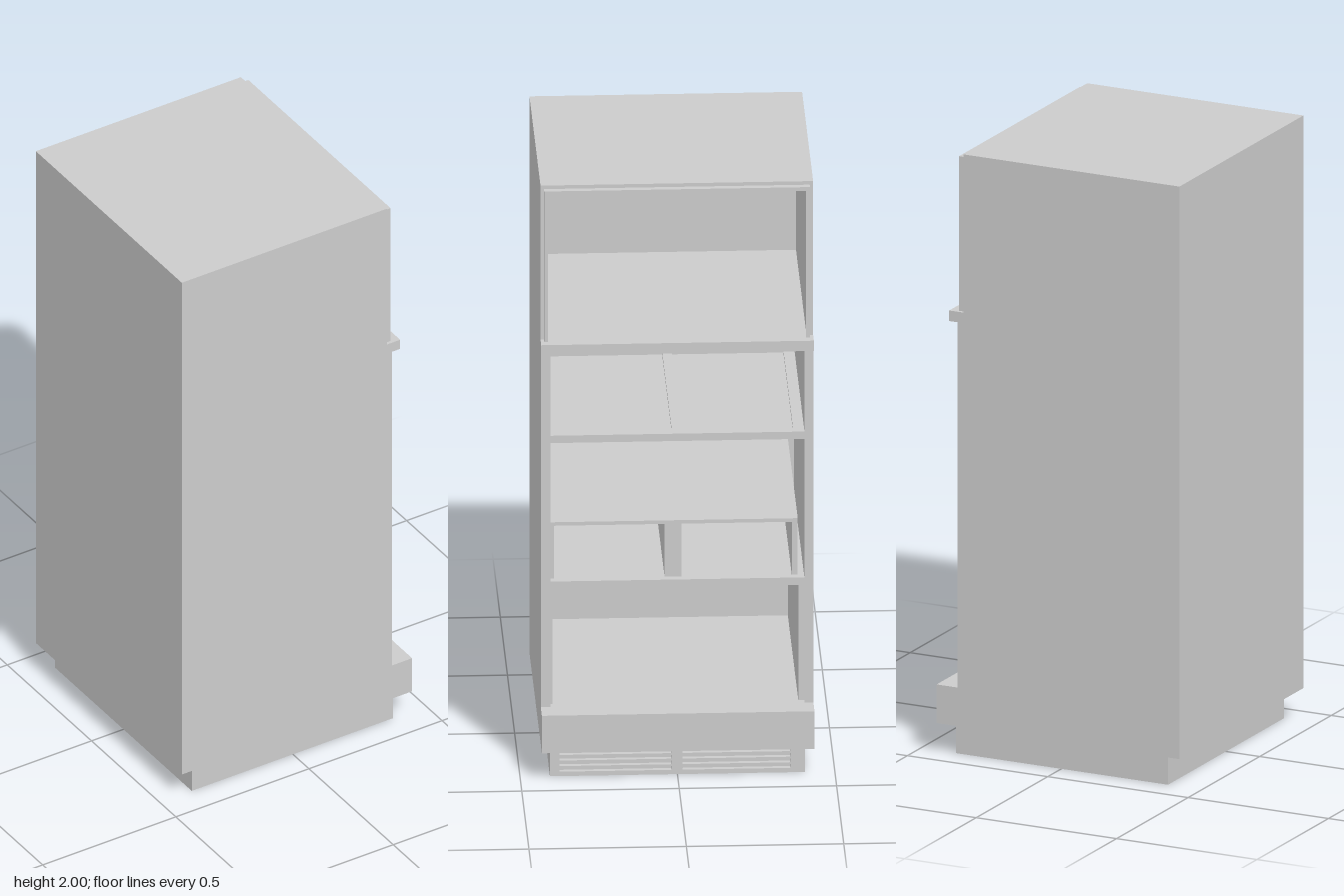
import * as THREE from 'three';

const grey = new THREE.MeshStandardMaterial({ color: 0xcccccc, flatShading: true });

// Box given by its limits on each axis
function block(parent, name, [x0, x1], [y0, y1], [z0, z1]) {
  const mesh = new THREE.Mesh(new THREE.BoxGeometry(x1 - x0, y1 - y0, z1 - z0), grey);
  mesh.position.set((x0 + x1) / 2, (y0 + y1) / 2, (z0 + z1) / 2);
  mesh.name = name;
  parent.add(mesh);
  return mesh;
}

// Rectangle outline [u0, u1, v0, v1]
function outline(target, [u0, u1, v0, v1]) {
  return target.moveTo(u0, v0).lineTo(u1, v0).lineTo(u1, v1).lineTo(u0, v1).closePath();
}

// Rectangular plate with rectangular holes, extruded along its own z
function plate(outer, holes, depth) {
  const shape = outline(new THREE.Shape(), outer);
  for (const h of holes) shape.holes.push(outline(new THREE.Path(), h));
  return new THREE.ExtrudeGeometry(shape, { depth, bevelEnabled: false });
}

function addMesh(parent, name, geometry) {
  const mesh = new THREE.Mesh(geometry, grey);
  mesh.name = name;
  parent.add(mesh);
}

export function createModel() {
  const model = new THREE.Group();
  model.name = 'openRefrigerator';
  const back = -0.435, inner = -0.4, W = 0.433;

  // Cabinet: back, lower side walls, upper side walls and roof
  const cabinet = new THREE.Group();
  cabinet.name = 'cabinet';
  model.add(cabinet);
  block(cabinet, 'backPanel', [back, inner], [0.1, 2], [-W, W]);
  block(cabinet, 'lowerWallLeft', [inner, 0.355], [0.225, 1.44], [0.402, W]);
  block(cabinet, 'lowerWallRight', [inner, 0.355], [0.225, 1.44], [-W, -0.405]);
  for (const s of [-1, 1]) {
    const z = [s * 0.412, s * W].sort((a, b) => a - b);
    block(cabinet, 'freezerWall', [inner, 0.335], [1.475, 2], z);
  }
  block(cabinet, 'roof', [inner, 0.335], [1.978, 2], [-0.412, 0.412]);

  // Raised lip around the freezer opening
  const rim = 0.422, lip = 0.41;
  for (const s of [-1, 1]) {
    const z = [s * lip, s * rim].sort((a, b) => a - b);
    block(cabinet, 'freezerLipSide', [0.333, 0.356], [1.475, 1.988], z);
  }
  block(cabinet, 'freezerLipTop', [0.333, 0.356], [1.975, 1.988], [-lip, lip]);

  // Freezer floor and deep bottom sill
  block(model, 'freezerFloor', [inner, 0.385], [1.44, 1.475], [-W, W]);
  block(model, 'bottomSill', [inner, 0.43], [0.1, 0.228], [-W, W]);

  // Upper shelf: solid slab under a frame with two shallow recesses
  block(model, 'upperShelf', [inner, 0.346], [1.125, 1.141], [-0.405, 0.402]);
  const frame = plate(
    [inner, 0.346, -0.402, 0.405],
    [[-0.36, 0.31, -0.37, -0.015], [-0.36, 0.31, 0.015, 0.37]], 0.009);
  frame.rotateX(-Math.PI / 2).translate(0, 1.141, 0);
  addMesh(model, 'upperShelfFrame', frame);

  // Middle shelf with two open bins standing on it
  block(model, 'middleShelf', [inner, 0.34], [0.624, 0.65], [-0.405, 0.402]);
  const bins = new THREE.Group();
  bins.name = 'bins';
  model.add(bins);
  block(bins, 'binTop', [inner, 0.314], [0.83, 0.842], [-0.385, 0.402]);
  for (const z of [[0.39, 0.402], [-0.016, 0.038], [-0.385, -0.366]])
    block(bins, 'binWall', [inner, 0.314], [0.65, 0.83], z);

  // Side liners of the bottom compartment
  block(model, 'linerLeft', [inner, 0.33], [0.228, 0.624], [0.395, 0.402]);
  block(model, 'linerRight', [inner, 0.33], [0.228, 0.624], [-0.405, -0.386]);

  // Plinth with slotted ventilation grille
  block(model, 'plinth', [-0.38, 0.36], [0, 0.1], [-0.405, 0.405]);
  const slots = [];
  for (const [a, b] of [[-0.375, -0.018], [0.016, 0.36]])
    for (let i = 0; i < 4; i++) slots.push([a, b, 0.015 + i * 0.019, 0.028 + i * 0.019]);
  const grille = plate([-0.405, 0.405, 0, 0.1], slots, 0.016);
  grille.rotateY(Math.PI / 2).translate(0.36, 0, 0);
  addMesh(model, 'ventGrille', grille);

  return model;
}
